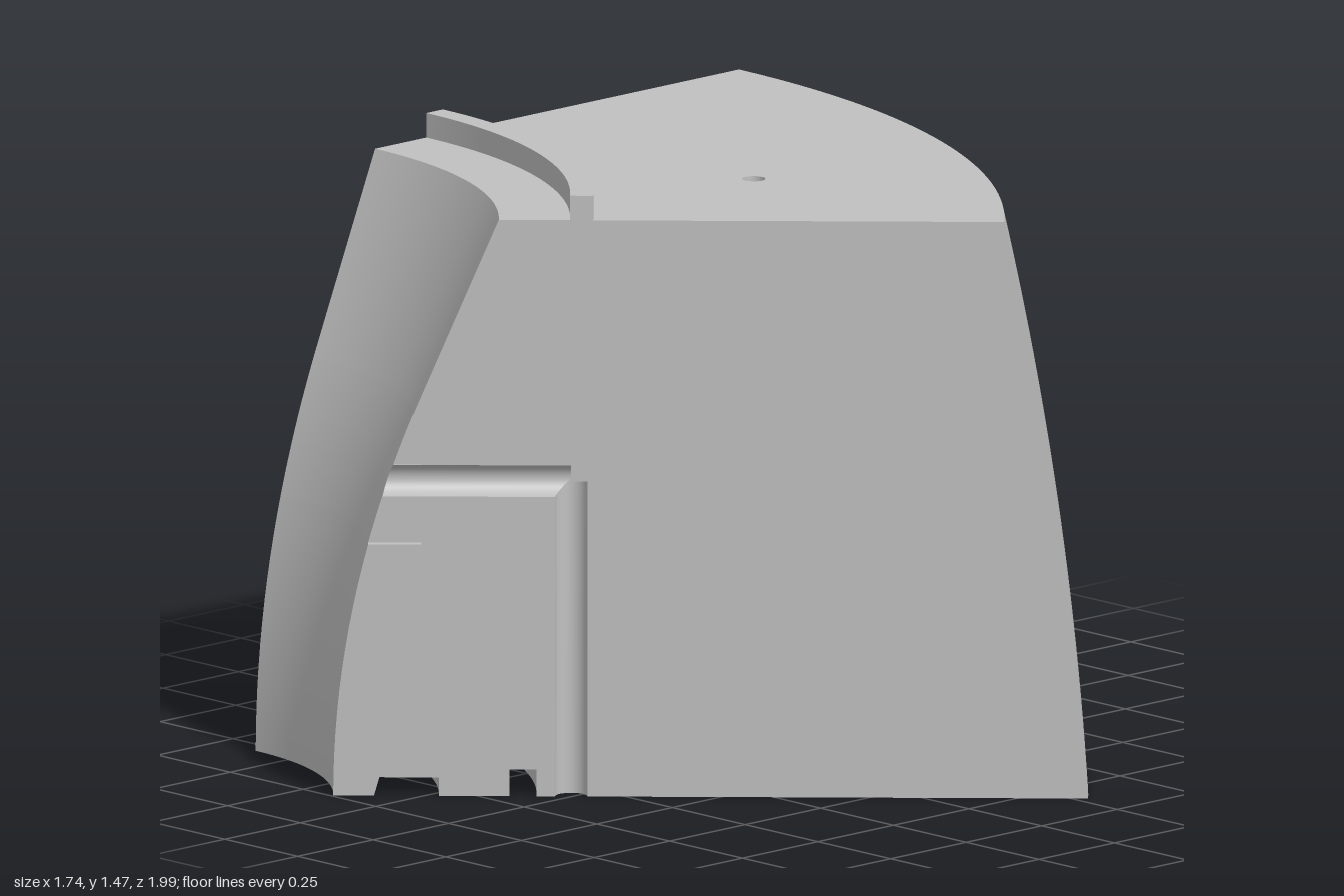
import * as THREE from 'three';

const A = Math.PI / 4;            // wedge angle
const H = 1.41;                   // block height
const R = 0.0385, C = 1.2275, Y = 0.771;  // channel radius, upright channel centre, level channel height
const D = 0.02, P0 = 0.615, P1 = 0.93, PS = 0.87; // pocket depth, bottom, top, end
const N = 48;

// radius of the inner and outer walls at height y
const inner = y => y < 0.97 ? 0.66 + 0.22 * y * y : 0.867 + 0.427 * (y - 0.97);
const outer = y => 2.46 - 0.06 * y - 0.058 * y * y;
const range = (a, b, n) => Array.from({ length: n + 1 }, (_, i) => a + (b - a) * i / n);

// surface grid, facing along dP/du x dP/dv
function grid(nu, nv, fn) {
  const pos = [], idx = [];
  for (let j = 0; j <= nv; j++) for (let i = 0; i <= nu; i++) pos.push(...fn(i / nu, j / nv, j));
  for (let j = 0; j < nv; j++) for (let i = 0; i < nu; i++) {
    const a = j * (nu + 1) + i, b = a + 1, d = a + nu + 1, c = d + 1;
    idx.push(a, b, c, a, c, d);
  }
  const g = new THREE.BufferGeometry();
  g.setAttribute('position', new THREE.Float32BufferAttribute(pos, 3));
  g.setIndex(idx);
  g.computeVertexNormals();
  return g;
}
const polar = (phi, r, y) => [r * Math.sin(phi), y, -r * Math.cos(phi)];
const shapeOf = pts => new THREE.Shape(pts.map(p => new THREE.Vector2(p[0], p[1])));

export function createModel() {
  const model = new THREE.Group();
  const block = new THREE.Group();
  block.name = 'wedgeBlock';
  block.position.set(-0.87, 0, 1.46);
  model.add(block);
  const grey = new THREE.MeshStandardMaterial({ color: 0xc0c0c0, side: THREE.DoubleSide });
  grey.name = 'plain grey';
  const add = (parent, name, geo) => {
    const m = new THREE.Mesh(geo, grey);
    m.name = name;
    parent.add(m);
    return m;
  };

  // sharp-edged swept strips along a profile of [radius, height]
  const sweep = (name, pts) => {
    const g = new THREE.Group();
    g.name = name;
    for (let k = 0; k + 1 < pts.length; k++) {
      const [p, q] = [pts[k], pts[k + 1]];
      add(g, name + 'Side', grid(N, 1, (u, v) =>
        polar(u * A, p[0] + (q[0] - p[0]) * v, p[1] + (q[1] - p[1]) * v)));
    }
    block.add(g);
  };

  // flat ring sector, with optional bore and channel notch
  const sector = (name, r0, r1, y, up, bore, notch) => {
    const s = up ? 1 : -1, pts = [];
    range(0, A, N).forEach(a => pts.push([r1 * Math.sin(a), s * r1 * Math.cos(a)]));
    if (notch) range(0, Math.PI, 16).forEach(t => {
      const a = C + R * Math.cos(t), d = R * Math.sin(t);
      pts.push([(a - d) * Math.SQRT1_2, s * (a + d) * Math.SQRT1_2]);
    });
    range(A, 0, N).forEach(a => pts.push([r0 * Math.sin(a), s * r0 * Math.cos(a)]));
    const shape = shapeOf(pts);
    if (bore) shape.holes.push(new THREE.Path().absarc(0.855, s * 1.485, 0.028, 0, Math.PI * 2, true));
    add(block, name, new THREE.ShapeGeometry(shape, 12).rotateX(-s * Math.PI / 2)).position.y = y;
  };

  // curved walls
  add(block, 'outerWall', grid(N, 24, (u, v) => polar(u * A, outer(H * (1 - v)), H * (1 - v))));
  const t0 = Math.asin(D / R), yLow = Y - R * Math.cos(t0), yHigh = Y + R * Math.cos(t0);
  const rows = [
    ...range(0, P0, 12).map(y => [y, 0]),
    ...range(P0, yLow, 4).map(y => [y, D]),
    ...range(t0, Math.PI - t0, 12).map(t => [Y - R * Math.cos(t), R * Math.sin(t)]),
    ...range(yHigh, P1, 4).map(y => [y, D]),
    ...range(P1, H, 8).map(y => [y, 0]),
  ];
  add(block, 'innerWall', grid(N, rows.length - 1, (u, v, j) => {
    const [y, d] = rows[j], r = inner(y);
    return polar(u * (A - Math.asin(d / r)), r, y);
  }));

  // top, raised rib, underside and its ring grooves
  const rib = [[1.225, H], [1.225, 1.47], [1.28, 1.47], [1.28, H]];
  const wideGroove = [[0.912, 0], [0.912, 0.045], [0.77, 0.045], [0.757, 0]];
  const narrowGroove = [[1.145, 0], [1.145, 0.065], [1.08, 0.065], [1.08, 0]];
  sector('topFront', inner(H), 1.225, H, true);
  sector('topBack', 1.28, outer(H), H, true, true);
  sweep('rib', rib);
  sweep('wideGroove', wideGroove);
  sweep('narrowGroove', narrowGroove);
  sector('undersideFront', 0.66, 0.757, 0, false);
  sector('undersideMiddle', 0.912, 1.08, 0, false);
  sector('undersideBack', 1.145, 2.46, 0, false, true, true);
  add(block, 'bore', new THREE.CylinderGeometry(0.028, 0.028, H, 24, 1, true).scale(-1, 1, 1))
    .position.set(0.855, H / 2, -1.485);

  // end faces, drawn in (radius, height)
  const footprint = [[0.66, 0], ...[...wideGroove].reverse(), ...[...narrowGroove].reverse()];
  const innerPts = (a, b, n) => range(a, b, n).map(y => [inner(y), y]);
  const outerPts = range(0, H, 24).map(y => [outer(y), y]);
  const ribPts = [...rib].reverse();
  add(block, 'plainEndFace', new THREE.ShapeGeometry(shapeOf(
    [...footprint, ...outerPts, ...ribPts, ...innerPts(H, 0.02, 24)])).rotateY(Math.PI / 2).scale(-1, 1, 1));

  // channelled end: local x runs along the face, z points out of it
  const end = new THREE.Group();
  end.name = 'channelledEnd';
  end.rotation.y = A;
  block.add(end);
  add(end, 'lowerEndFace', new THREE.ShapeGeometry(shapeOf([
    ...footprint, [C - R, 0], [C - R, Y - R], [PS, Y - R], [PS, P0], ...innerPts(P0, 0.02, 12)])));
  add(end, 'mainEndFace', new THREE.ShapeGeometry(shapeOf([
    [C + R, 0], ...outerPts, ...ribPts, ...innerPts(H, P1, 8),
    [PS, P1], [PS, Y + R], [C, Y + R], [C, Y], [C + R, Y]])));

  // round channels, mitred where they meet
  add(end, 'uprightChannel', grid(24, 1, (u, v) => {
    const t = u * Math.PI, c = R * Math.cos(t);
    return [C - c, v * (c > 0 ? Y - c : Y), -R * Math.sin(t)];
  }));
  add(end, 'levelChannel', grid(1, 24, (u, v) => {
    const t = v * Math.PI, c = R * Math.cos(t), y = Y - c;
    const z = -R * Math.sin(t), s0 = Math.sqrt(inner(y) ** 2 - z * z);
    return [s0 + (C - Math.max(c, 0) - s0) * u, y, z];
  }));
  const quarter = () => new THREE.CircleGeometry(R, 8, 0, Math.PI / 2);
  add(end, 'levelChannelEnd', quarter().rotateY(Math.PI / 2)).position.set(C, Y, 0);
  add(end, 'uprightChannelEnd', quarter().rotateX(-Math.PI / 2)).position.set(C, Y, 0);

  // shallow pocket above and below the level channel
  for (const [a, b] of [[P0, yLow], [yHigh, P1]]) {
    add(end, 'pocketFloor', grid(1, 4, (u, v) => {
      const y = a + (b - a) * v, s = Math.sqrt(inner(y) ** 2 - D * D);
      return [s + (PS - s) * u, y, -D];
    }));
    const lo = a === P0 ? a : Y + R, hi = b === P1 ? b : Y - R;
    add(end, 'pocketEnd', grid(1, 1, (u, v) =>
      [PS, v ? (u ? hi : b) : (u ? lo : a), -D * (1 - u)]));
  }
  for (const y of [P0, P1]) {
    const s = inner(y);
    add(end, 'pocketEdge', grid(1, 1, (u, v) => {
      const w = y === P0 ? u : 1 - u;
      return [s + (PS - s) * w, y, -D * v];
    }));
  }
  return model;
}
